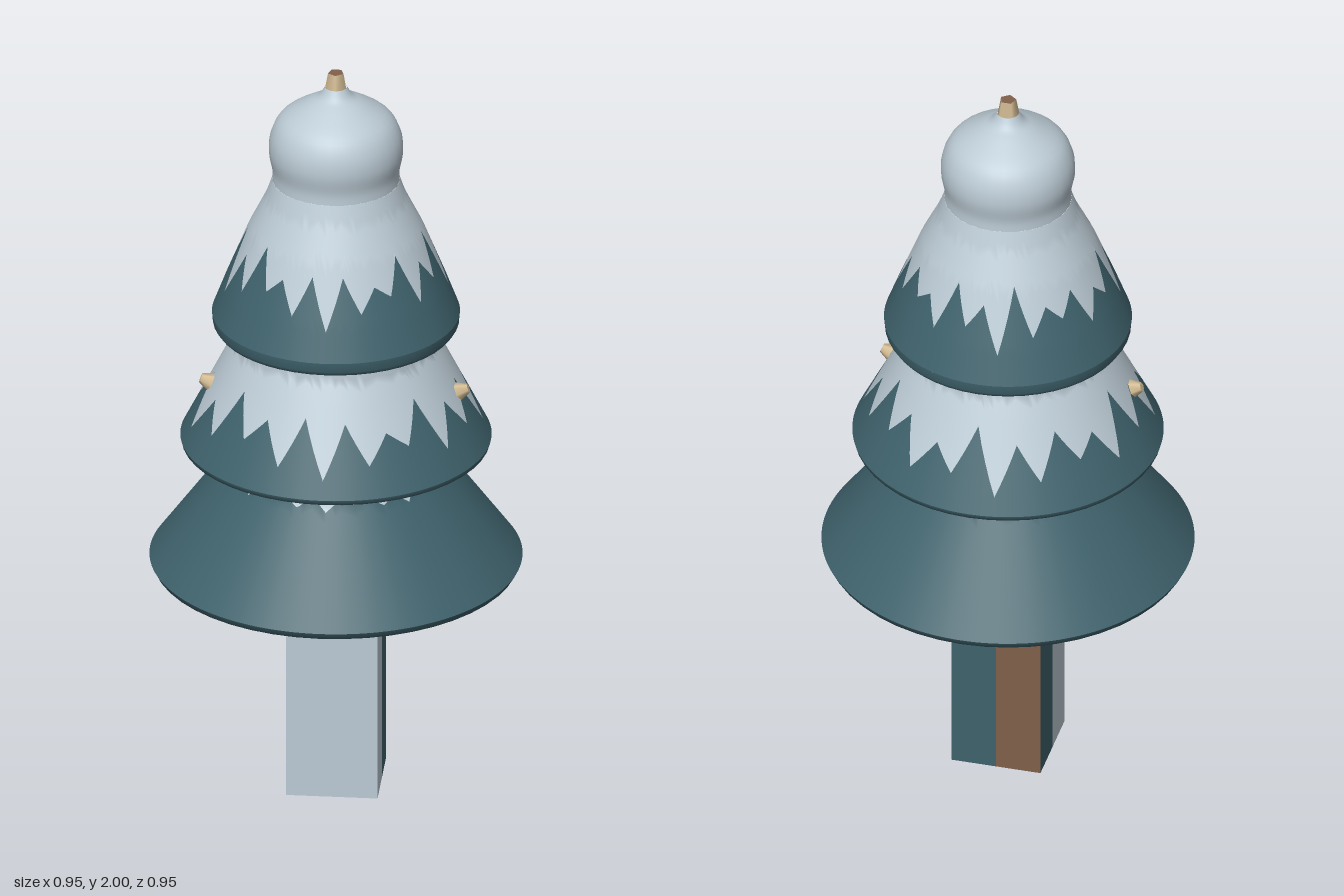
import * as THREE from 'three';
import { ParametricGeometry } from 'three/addons/geometries/ParametricGeometry.js';

const flat = (name, color) => {
  const m = new THREE.MeshStandardMaterial({ color });
  m.name = name;
  return m;
};

export function createModel() {
  const tree = new THREE.Group();
  tree.name = 'snowyTree';
  const snow = flat('snow', 0xbccbd5);
  const needles = flat('needles', 0x3f626c);
  const bark = flat('bark', 0x80604b);
  const wood = flat('cutWood', 0xd2bb93);

  const add = (name, geometry, material, x = 0, y = 0, z = 0) => {
    const mesh = new THREE.Mesh(geometry, material);
    mesh.name = name;
    mesh.position.set(x, y, z);
    tree.add(mesh);
    return mesh;
  };

  const lathe = (name, points, material, sides = 48) =>
    add(name, new THREE.LatheGeometry(points.map(([r, y]) => new THREE.Vector2(r, y)), sides), material);

  // Radius of a tier at a height, from a [radius, height] profile
  const radiusAt = (profile, y) => {
    let i = 1;
    while (i < profile.length - 1 && y > profile[i][1]) i++;
    const [r0, y0] = profile[i - 1], [r1, y1] = profile[i];
    return THREE.MathUtils.lerp(r0, r1, (y - y0) / (y1 - y0));
  };

  // Surface of revolution between two heights that may vary with angle
  const band = (name, profile, low, high, material, from = 0, to = Math.PI * 2, slices = 152) =>
    add(name, new ParametricGeometry((u, v, p) => {
      const a = from + (to - from) * u;
      const y = THREE.MathUtils.lerp(low(a), high(a), v);
      const r = radiusAt(profile, y);
      p.set(r * Math.sin(a), y, r * Math.cos(a));
    }, slices, 10), material);

  // Zigzag snow line: one dripping tip and one notch per tooth
  const drips = (tips, notches, teeth) => (a) => {
    const t = (((a / (Math.PI * 2)) % 1 + 1) % 1) * teeth;
    const i = Math.floor(t), f = t - i;
    const tip = (k) => tips[(k % teeth) % tips.length];
    const notch = notches[i % notches.length];
    return f < 0.5
      ? THREE.MathUtils.lerp(tip(i), notch, f * 2)
      : THREE.MathUtils.lerp(notch, tip(i + 1), f * 2 - 1);
  };
  const level = (y) => () => y;

  // Trunk: snowy front half, needle-coloured and bark back quarters
  const halves = [
    ['trunkFront', 0.235, 0.12, 0, 0.06, [snow, snow, snow, needles, snow, snow]],
    ['trunkBackLeft', 0.1175, 0.12, 0.05875, -0.06, needles],
    ['trunkBackRight', 0.1175, 0.12, -0.05875, -0.06, [needles, needles, needles, needles, needles, bark]],
  ];
  for (const [name, w, d, x, z, material] of halves)
    add(name, new THREE.BoxGeometry(w, 0.62, d), material, x, 0.31, z);
  add('trunkCutFace', new THREE.BoxGeometry(0.17, 0.004, 0.16), wood, 0.03, 0.0015, -0.038);

  // Bottom tier: underside, skirt and collar
  const skirt = [[0.477, 0.635], [0.285, 0.90], [0.262, 0.95]];
  lathe('bottomUnderside', [[0, 0.617], [0.44, 0.614], [0.468, 0.617], [0.477, 0.635]], needles);
  const collarLine = drips([0.89, 0.905, 0.895], [0.92, 0.93, 0.915, 0.925], 24);
  band('bottomSkirt', skirt, level(0.635), collarLine, needles);
  const q = Math.PI / 2, spread = 0.6;
  for (const side of [1, -1]) {
    band('collarBark', skirt, collarLine, level(0.95), bark, side * q - spread, side * q + spread, 48);
    band('collarSnow', skirt, collarLine, level(0.95), snow, side * q + spread, side * q + 2 * q - spread, 80);
  }

  // Bark wedges spreading from the trunk beneath the bottom tier
  const wedges = [
    [[0.12, -0.12], [0.436, -0.087], [0.12, 0.08]],
    [[0.12, 0.12], [0.045, 0.416], [-0.1, 0.12]],
    [[-0.12, 0.1], [-0.335, -0.216], [-0.12, -0.12]],
  ];
  for (const corners of wedges) {
    const shape = new THREE.Shape(corners.map(([x, z]) => new THREE.Vector2(x, z)));
    add('barkWedge', new THREE.ExtrudeGeometry(shape, { depth: 0.006, bevelEnabled: false }), bark, 0, 0.617, 0)
      .rotation.x = q;
  }

  // Middle tier
  const middle = [[0.398, 0.975], [0.335, 1.10], [0.285, 1.2], [0.262, 1.245], [0.258, 1.29]];
  const middleLine = drips([1.02, 1.05, 1.08, 1.04, 1.06], [1.15, 1.12, 1.18, 1.14, 1.16, 1.13, 1.19], 19);
  lathe('middleUnderside', [[0.24, 0.945], [0.3, 0.94], [0.375, 0.955], [0.395, 0.962], [0.398, 0.975]], needles);
  band('middleNeedles', middle, level(0.975), middleLine, needles);
  band('middleSnow', middle, middleLine, level(1.29), snow);

  // Small cut branch stubs on both sides
  for (const side of [1, -1]) {
    const stub = add('branchStub', new THREE.CylinderGeometry(0.012, 0.03, 0.04, 6), wood, side * 0.325, 1.13, 0.04);
    stub.rotation.z = -side * 1.2;
  }

  // Top tier
  const top = [[0.317, 1.325], [0.285, 1.41], [0.225, 1.56], [0.18, 1.65], [0.163, 1.70]];
  const topLine = drips([1.4, 1.44, 1.47, 1.43, 1.46], [1.53, 1.50, 1.56, 1.52, 1.57, 1.51], 19);
  lathe('topUnderside', [[0.23, 1.28], [0.275, 1.275], [0.307, 1.288], [0.315, 1.3], [0.317, 1.325]], needles);
  band('topNeedles', top, level(1.325), topLine, needles);
  band('topSnow', top, topLine, level(1.7), snow);

  // Rounded snow cap
  const cap = new THREE.SplineCurve([[0.163, 1.7], [0.163, 1.73], [0.172, 1.78], [0.166, 1.83], [0.14, 1.875],
    [0.08, 1.915], [0.045, 1.935], [0.028, 1.96]].map(([r, y]) => new THREE.Vector2(r, y)));
  add('snowCap', new THREE.LatheGeometry(cap.getPoints(28), 32), snow);

  // Five-sided tip with a bark end
  const tip = new THREE.CylinderGeometry(0.021, 0.034, 0.07, 5);
  add('treeTip', tip, [wood, bark, wood], 0, 1.965, 0);

  return tree;
}
